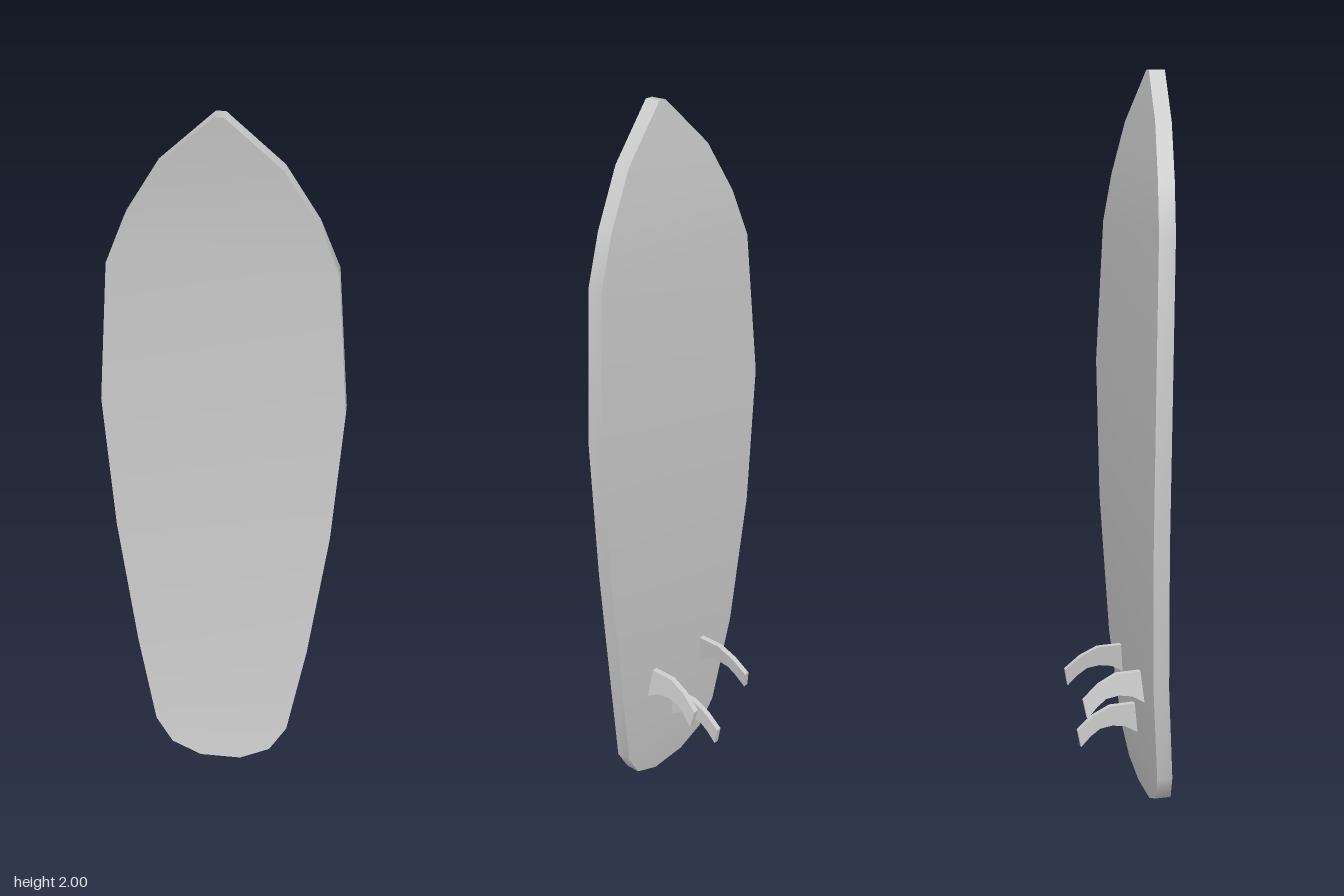
import * as THREE from 'three';
import { toCreasedNormals } from 'three/addons/utils/BufferGeometryUtils.js';

const THICKNESS = 0.043;

// Board stations from tail to nose: height, half width, z of the front face
const STATIONS = [
  [0, 0.06, 0.124], [0.04, 0.146, 0.118], [0.12, 0.195, 0.108], [0.4, 0.245, 0.082],
  [0.8, 0.295, 0.066], [1.2, 0.32, 0.063], [1.6, 0.287, 0.077], [1.73, 0.235, 0.088],
  [1.87, 0.15, 0.104], [2, 0.012, 0.125],
];

// Hooked fin outline: z, y
const FIN = [
  [0.045, 0.406], [-0.03, 0.404], [-0.08, 0.379], [-0.124, 0.34], [-0.115, 0.29],
  [-0.087, 0.32], [-0.06, 0.34], [-0.024, 0.346], [0.013, 0.34], [0.05, 0.318],
];

function meshGeometry(points, index) {
  const g = new THREE.BufferGeometry().setFromPoints(points);
  g.setIndex(index);
  g.computeVertexNormals();
  return g;
}

// Front or back skin: a strip of quads from tail to nose
function skin(offset, flip) {
  const pts = [], index = [];
  STATIONS.forEach(([y, w, z], i) => {
    pts.push(new THREE.Vector3(-w, y, z - offset), new THREE.Vector3(w, y, z - offset));
    if (i === 0) return;
    const l = 2 * i - 2, r = l + 1, l2 = l + 2, r2 = l + 3;
    index.push(...(flip ? [l, r2, r, l, l2, r2] : [l, r, r2, l, r2, l2]));
  });
  return meshGeometry(pts, index);
}

// Edge band running round the whole outline
function rail() {
  const loop = [
    ...STATIONS.map(([y, w, z]) => [w, y, z]),
    ...[...STATIONS].reverse().map(([y, w, z]) => [-w, y, z]),
  ];
  const pts = [], index = [];
  loop.forEach(([x, y, z], i) => {
    pts.push(new THREE.Vector3(x, y, z), new THREE.Vector3(x, y, z - THICKNESS));
    const f = 2 * i, b = f + 1, f2 = 2 * ((i + 1) % loop.length), b2 = f2 + 1;
    index.push(f, b, b2, f, b2, f2);
  });
  return meshGeometry(pts, index);
}

// Thin hooked plate; lean pushes the lower part sideways
function fin(x, lean) {
  const shape = new THREE.Shape(FIN.map(([z, y]) => new THREE.Vector2(-z, y)));
  const g = new THREE.ExtrudeGeometry(shape, { depth: 0.016, bevelEnabled: false });
  g.translate(0, 0, -0.008).rotateY(Math.PI / 2);
  const p = g.attributes.position;
  for (let i = 0; i < p.count; i++) {
    p.setX(i, p.getX(i) + x + lean * (0.405 - p.getY(i)));
  }
  return toCreasedNormals(g, 0.6);
}

export function createModel() {
  const group = new THREE.Group();
  const material = new THREE.MeshStandardMaterial({ color: 0xcccccc });
  const add = (name, geometry, parent = group) => {
    const mesh = new THREE.Mesh(geometry, material);
    mesh.name = name;
    parent.add(mesh);
    return mesh;
  };

  // Board
  const board = new THREE.Group();
  board.name = 'board';
  group.add(board);
  add('deck', skin(0, false), board);
  add('underside', skin(THICKNESS, true), board);
  add('rail', rail(), board);

  // Fins: a leaning pair and a lower upright one in the middle
  add('leftFin', fin(0.107, 0.16));
  add('rightFin', fin(-0.107, -0.16));
  add('centreFin', fin(0, 0)).position.set(0, -0.138, 0.01);

  return group;
}
